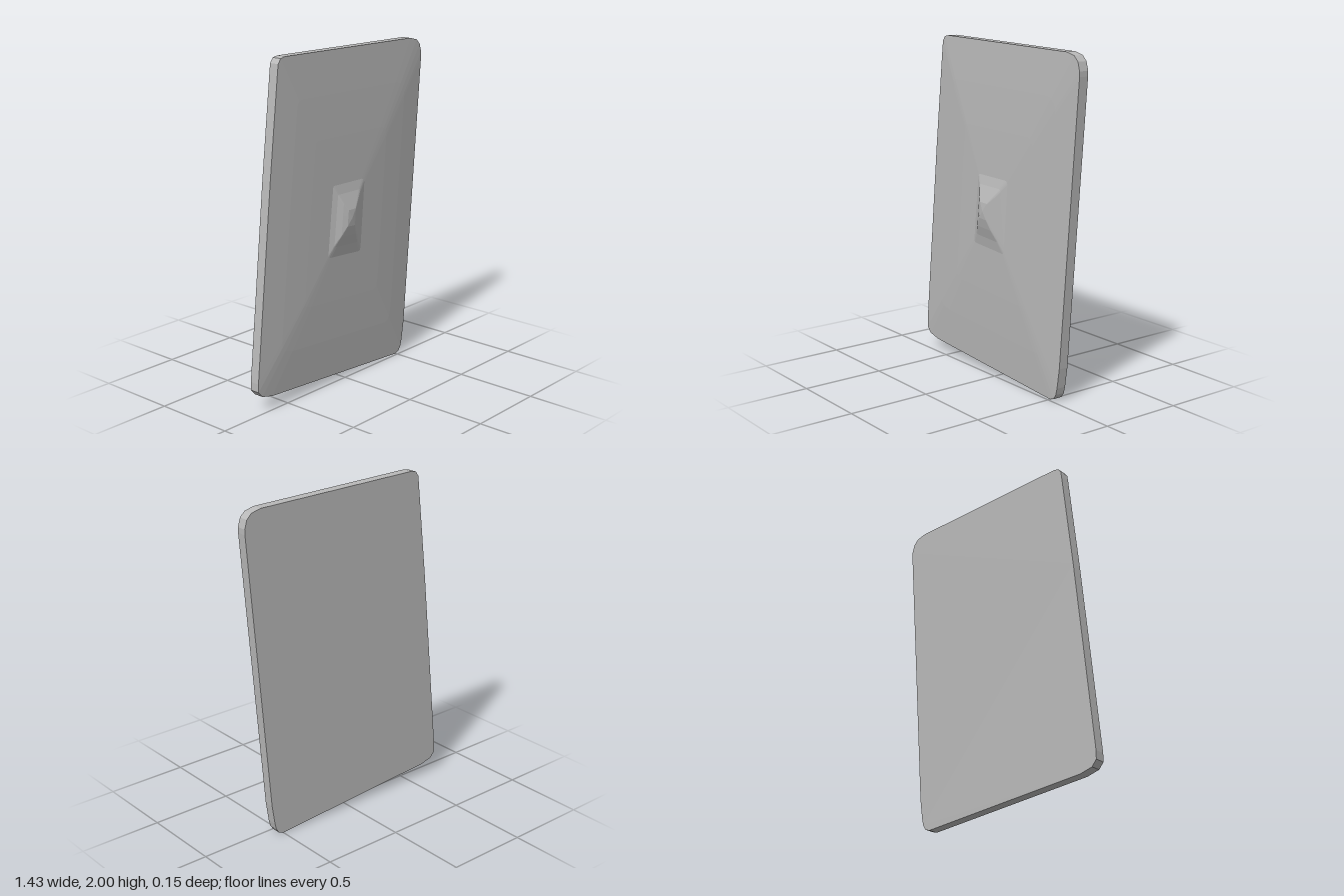
import * as THREE from 'three';

// Slanted outline with rounded corners, counter-clockwise from the front
const OUTLINE = [
  [0.5, 0], [0.53, 0.01], [0.55, 0.04], [0.56, 0.08], [0.578, 0.2],
  [0.715, 1.86], [0.715, 1.89], [0.7, 1.94], [0.67, 1.97], [0.61, 1.985],
  [-0.47, 2], [-0.505, 1.993], [-0.525, 1.965], [-0.53, 1.93], [-0.6, 1.33],
  [-0.72, 0.18], [-0.72, 0.13], [-0.69, 0.095], [-0.61, 0.075],
];

// The outline shrunk about a centre and set at a depth
const ring = (scale, z, cx = 0, cy = 1) =>
  OUTLINE.map(([x, y]) => [cx + x * scale, cy + (y - 1) * scale, z]);

// Faceted skin joining consecutive rings, outermost first
function loft(rings) {
  const pos = [];
  const n = OUTLINE.length;
  for (let r = 0; r < rings.length - 1; r++) {
    const a = rings[r], b = rings[r + 1];
    for (let i = 0; i < n; i++) {
      const j = (i + 1) % n;
      pos.push(...a[i], ...a[j], ...b[j], ...a[i], ...b[j], ...b[i]);
    }
  }
  const geometry = new THREE.BufferGeometry();
  geometry.setAttribute('position', new THREE.Float32BufferAttribute(pos, 3));
  geometry.computeVertexNormals();
  return geometry;
}

export function createModel() {
  const group = new THREE.Group();
  group.name = 'shield';
  const metal = new THREE.MeshStandardMaterial({ color: 0xb8b8b8, flatShading: true });
  const add = (name, geometry) => {
    const mesh = new THREE.Mesh(geometry, metal);
    mesh.name = name;
    group.add(mesh);
  };

  // Rim wall and flat back
  add('rim', loft([ring(1, -0.075), ring(1, -0.015)]));
  const back = new THREE.ShapeGeometry(
    new THREE.Shape(OUTLINE.map(([x, y]) => new THREE.Vector2(-x, y))));
  back.rotateY(Math.PI).translate(0, 0, -0.075);
  add('back', back);

  // Gently domed face
  add('face', loft([
    ring(1, -0.015), ring(0.75, 0.001), ring(0.5, 0.012), ring(0.22, 0.021, -0.01),
  ]));

  // Raised boss in the middle
  add('boss', loft([
    ring(0.22, 0.021, -0.01), ring(0.16, 0.034, -0.015, 1.005),
    ring(0.1, 0.055, -0.02, 1.01), ring(0.05, 0.07, -0.02, 1.02),
    ring(0, 0.075, -0.02, 1.02),
  ]));
  return group;
}
